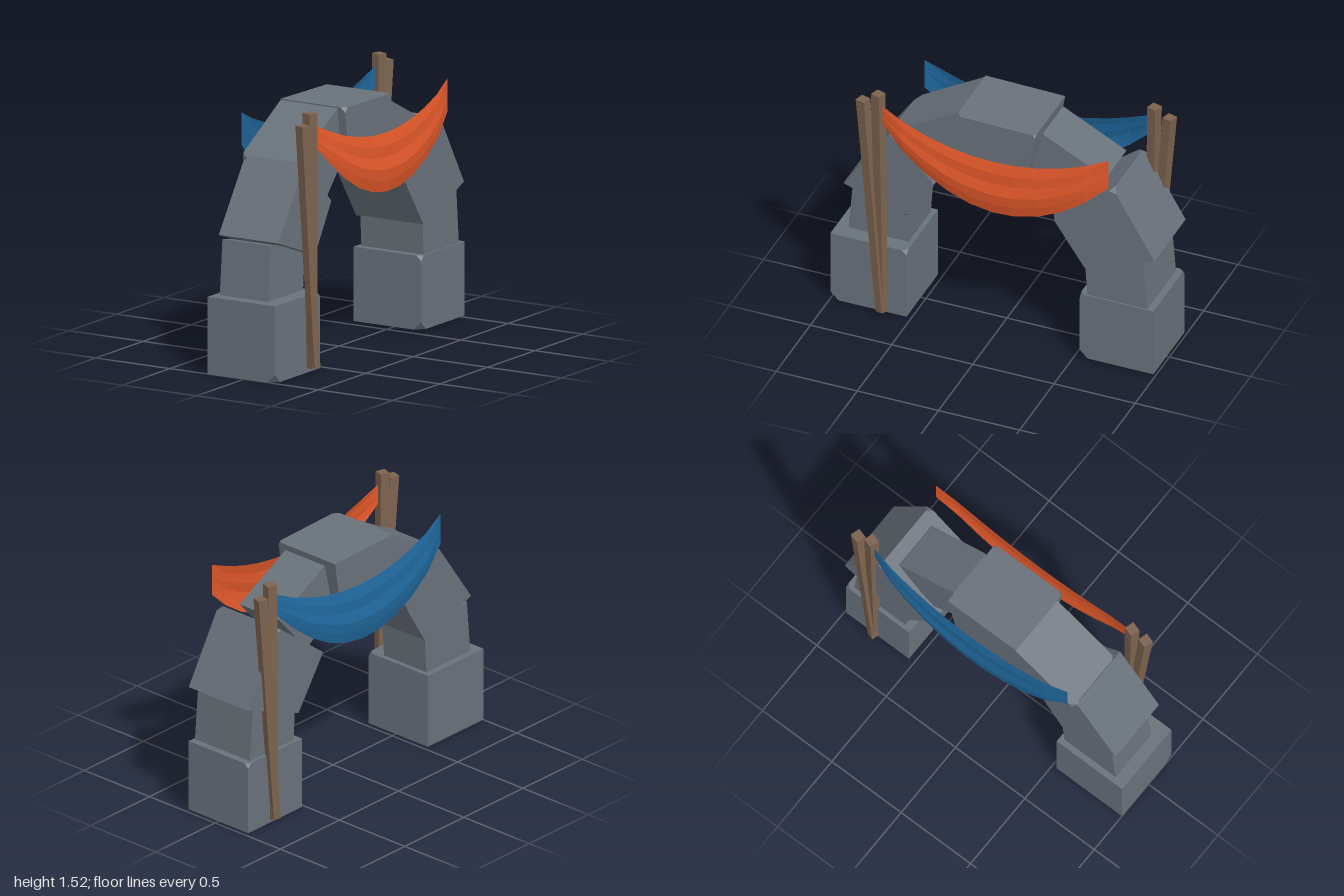
import * as THREE from 'three';
import { ConvexGeometry } from 'three/addons/geometries/ConvexGeometry.js';

const mat = (name, color, extra = {}) => {
  const m = new THREE.MeshStandardMaterial({ color, flatShading: true, ...extra });
  m.name = name;
  return m;
};

// Stone block: four-cornered (z, y) profile spanning x0..x1.
// Each chip [corner, side, size] knocks off one corner along its three edges.
function stoneBlock(name, profile, x0, x1, chips, material) {
  const at = (i, s) => new THREE.Vector3(s ? x1 : x0, profile[i % 4][1], profile[i % 4][0]);
  const points = [];
  for (let i = 0; i < 4; i++) for (const s of [0, 1]) {
    const p = at(i, s), chip = chips.find(c => c[0] === i && c[1] === s);
    if (!chip) { points.push(p); continue; }
    for (const q of [at(i + 1, s), at(i + 3, s), at(i, 1 - s)]) {
      points.push(p.clone().lerp(q, Math.min(0.45, chip[2] / p.distanceTo(q))));
    }
  }
  const mesh = new THREE.Mesh(new ConvexGeometry(points), material);
  mesh.name = name;
  return mesh;
}

// Square post, thinner at the foot, leaning from foot to top
function post(name, foot, top, material) {
  const geo = new THREE.CylinderGeometry(0.042, 0.032, 1, 4, 1);
  geo.rotateY(0.5);
  const pos = geo.attributes.position;
  for (let i = 0; i < pos.count; i++) {
    const t = pos.getY(i) + 0.5;
    pos.setXYZ(i,
      pos.getX(i) + foot[0] + (top[0] - foot[0]) * t,
      foot[1] + (top[1] - foot[1]) * t,
      pos.getZ(i) + foot[2] + (top[2] - foot[2]) * t);
  }
  geo.computeVertexNormals();
  const mesh = new THREE.Mesh(geo, material);
  mesh.name = name;
  return mesh;
}

// Hanging cloth: sags between its ends, bulges outward, with lengthwise folds
function cloth(name, side, shift, material) {
  const geo = new THREE.PlaneGeometry(1, 1, 10, 5);
  const pos = geo.attributes.position;
  const folds = [0, 0.006, -0.006, 0.008, 0.0, -0.012];
  for (let i = 0; i < pos.count; i++) {
    const u = pos.getX(i) + 0.5, v = 0.5 - pos.getY(i);
    const sag = 4 * u * (1 - u);
    const top = 1.45 - 0.18 * sag;
    const bottom = 1.33 - 0.07 * u - 0.365 * sag;
    const bulge = Math.sqrt(sag) * (0.03 + 0.03 * Math.sin(v * Math.PI * 0.75));
    const x = 0.253 + 0.008 * u + bulge + folds[Math.round(v * 5)] * sag * 0.8;
    pos.setXYZ(i, side * x, top + (bottom - top) * v, side * (0.665 - 1.4 * u) + shift);
  }
  geo.computeVertexNormals();
  const mesh = new THREE.Mesh(geo, material);
  mesh.name = name;
  return mesh;
}

export function createModel() {
  const stone = mat('grey stone', 0x69717a);
  const wood = mat('brown wood', 0x7c624e);
  const orange = mat('orange cloth', 0xe2582a, { side: THREE.DoubleSide });
  const blue = mat('blue cloth', 0x1f679c, { side: THREE.DoubleSide });
  const model = new THREE.Group();
  model.name = 'stoneArch';

  // Arch stones, from the front foot over the top to the back foot
  const stones = [
    ['frontBaseStone', [[1, 0], [1, 0.45], [0.53, 0.45], [0.53, 0]], -0.245, 0.21, [[0, 1, 0.05], [2, 1, 0.03]]],
    ['frontPierStone', [[0.93, 0.42], [0.9, 0.77], [0.54, 0.7], [0.56, 0.42]], -0.21, 0.115, []],
    ['frontShoulderStone', [[0.93, 0.8], [0.65, 1.21], [0.37, 0.94], [0.54, 0.66]], -0.215, 0.185, [[1, 0, 0.03], [3, 1, 0.04]]],
    ['frontHaunchStone', [[0.655, 1.2], [0.23, 1.45], [0.18, 1.14], [0.37, 0.93]], -0.245, 0.14, [[0, 0, 0.035], [0, 1, 0.03]]],
    ['keystone', [[0.235, 1.455], [-0.255, 1.445], [-0.2, 1.12], [0.19, 1.12]], -0.245, 0.19, [[0, 1, 0.03], [1, 1, 0.02]]],
    ['backHaunchStone', [[-0.27, 1.42], [-0.66, 1.22], [-0.42, 0.95], [-0.2, 1.12]], -0.18, 0.12, []],
    ['backShoulderStone', [[-0.74, 1.22], [-0.995, 0.79], [-0.57, 0.62], [-0.36, 0.93]], -0.25, 0.205, [[0, 0, 0.035], [0, 1, 0.035], [3, 1, 0.03]]],
    ['backPierStone', [[-0.92, 0.78], [-0.95, 0.42], [-0.58, 0.42], [-0.565, 0.66]], -0.22, 0.2, [[1, 0, 0.03]]],
    ['backBaseStone', [[-0.535, 0.445], [-0.99, 0.445], [-0.99, 0.012], [-0.535, 0.012]], -0.245, 0.21, [[0, 1, 0.03], [3, 1, 0.05], [1, 0, 0.025]]],
  ];
  for (const [name, profile, x0, x1, chips] of stones) {
    model.add(stoneBlock(name, profile, x0, x1, chips, stone));
  }

  // Each side has one upright post, one leaning post and a cloth between them
  for (const [label, s, shift, colour] of [['left', 1, 0, orange], ['right', -1, -0.115, blue]]) {
    model.add(post(label + 'UprightPost', [s * 0.245, 0.03, s * 0.665 + shift], [s * 0.245, 1.52, s * 0.69 + shift], wood));
    model.add(post(label + 'LeaningPost', [s * 0.262, 0.04, s * 0.665 + shift], [s * 0.254, 1.465, s * 0.78 + shift], wood));
    model.add(cloth(label + 'Cloth', s, shift, colour));
  }
  return model;
}
